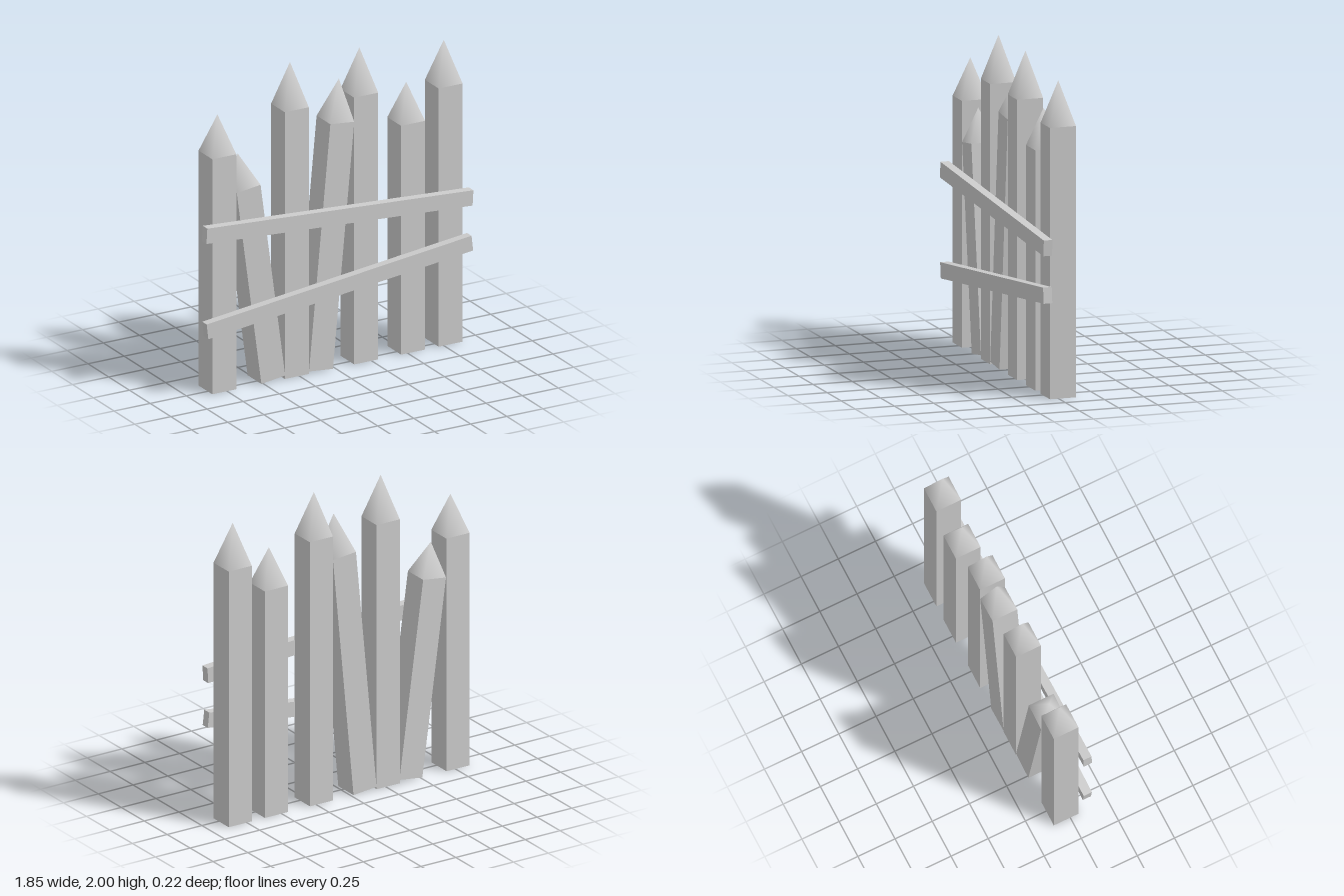
import * as THREE from 'three';
import { mergeVertices } from 'three/addons/utils/BufferGeometryUtils.js';

const WIDTH = 0.166;
const POST_Z = -0.0275;
const material = new THREE.MeshStandardMaterial({ color: 0xcccccc });

// Square pyramid with shared vertices, so it shades smoothly
function tipGeometry(height) {
  const cone = new THREE.ConeGeometry(WIDTH / Math.SQRT2, height, 4, 1, true);
  cone.rotateY(Math.PI / 4).translate(0, height / 2, 0);
  cone.deleteAttribute('normal');
  cone.deleteAttribute('uv');
  const merged = mergeVertices(cone, 1e-4);
  merged.computeVertexNormals();
  return merged;
}

// Square post with a pointed tip, standing on its base centre
function makePost(x, y, length, tipHeight, lean) {
  const post = new THREE.Group();
  post.name = 'post';
  const shaft = new THREE.Mesh(
    new THREE.BoxGeometry(WIDTH, length, WIDTH).translate(0, length / 2, 0), material);
  shaft.name = 'postShaft';
  const tip = new THREE.Mesh(tipGeometry(tipHeight), material);
  tip.name = 'postTip';
  tip.position.y = length;
  post.add(shaft, tip);
  post.position.set(x, y, POST_Z);
  post.rotation.z = lean;
  return post;
}

// Thin plank nailed across the front of the posts
function makeRail(name, y, tilt) {
  const rail = new THREE.Mesh(new THREE.BoxGeometry(1.845, 0.098, 0.055), material);
  rail.name = name;
  rail.position.set(0, y, 0.0825);
  rail.rotation.z = tilt;
  return rail;
}

export function createModel() {
  const fence = new THREE.Group();
  fence.name = 'fence';

  // Posts: base x, base y, shaft length, tip height, lean
  const posts = [
    [-0.769, 0, 1.515, 0.245, 0],
    [-0.43, 0.011, 1.275, 0.207, 0.134],
    [-0.267, 0, 1.72, 0.28, 0],
    [-0.1, 0.008, 1.572, 0.255, -0.094],
    [0.213, 0, 1.72, 0.28, 0],
    [0.537, 0, 1.475, 0.24, 0],
    [0.797, 0, 1.665, 0.27, 0],
  ];
  for (const p of posts) fence.add(makePost(...p));

  // Crooked rails
  fence.add(makeRail('upperRail', 0.994, -0.061));
  fence.add(makeRail('lowerRail', 0.54, 0.116));
  return fence;
}
